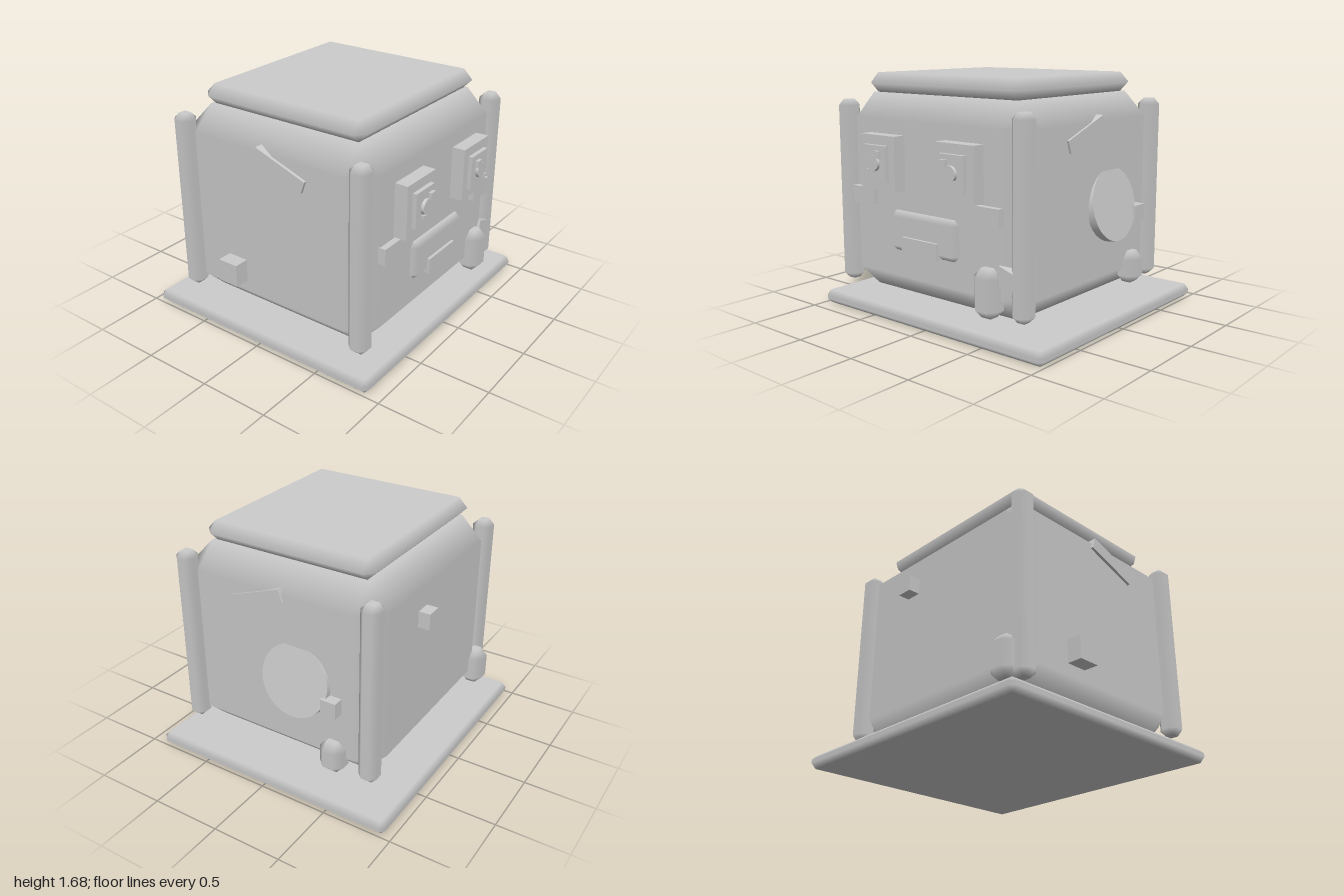
import * as THREE from 'three';
import { ConvexGeometry } from 'three/addons/geometries/ConvexGeometry.js';

// Box with one-step bevels; each vertex keeps its flat face's normal so bevels shade softly.
function bevelledBox(w, h, d, b) {
  const half = [w / 2, h / 2, d / 2];
  const pts = [];
  for (let axis = 0; axis < 3; axis++)
    for (const sx of [-1, 1]) for (const sy of [-1, 1]) for (const sz of [-1, 1]) {
      const p = [sx, sy, sz].map((s, i) => s * (i === axis ? half[i] : half[i] - b));
      pts.push(new THREE.Vector3(...p));
    }
  const geo = new ConvexGeometry(pts);
  const pos = geo.attributes.position, nor = geo.attributes.normal;
  for (let i = 0; i < pos.count; i++) {
    const p = [pos.getX(i), pos.getY(i), pos.getZ(i)];
    const r = p.map((v, k) => Math.abs(v) / half[k]);
    const a = r.indexOf(Math.max(...r));
    const n = [0, 0, 0];
    n[a] = Math.sign(p[a]);
    nor.setXYZ(i, ...n);
  }
  return geo;
}

export function createModel() {
  const group = new THREE.Group();
  const grey = new THREE.MeshStandardMaterial({ color: 0xcccccc });
  grey.name = 'plain grey';

  const add = (name, geo, x, y, z) => {
    const m = new THREE.Mesh(geo, grey);
    m.name = name;
    m.position.set(x, y, z);
    group.add(m);
    return m;
  };
  // Boxes given by their limits: [x0, x1], [y0, y1], [z0, z1], optional bevel
  const box = (name, [x0, x1], [y0, y1], [z0, z1], bevel = 0) => {
    const s = [x1 - x0, y1 - y0, z1 - z0];
    const geo = bevel ? bevelledBox(...s, bevel) : new THREE.BoxGeometry(...s);
    return add(name, geo, (x0 + x1) / 2, (y0 + y1) / 2, (z0 + z1) / 2);
  };

  // Main masses
  box('base', [-1, 1], [0, 0.094], [-0.95, 0.905], 0.035);
  box('body', [-0.865, 0.77], [0.145, 1.54], [-0.745, 0.795], 0.163);
  box('roof', [-0.745, 0.645], [1.54, 1.677], [-0.625, 0.675], 0.065);

  // Corner posts
  for (const x of [-0.84, 0.74])
    for (const z of [-0.695, 0.745])
      box('cornerPost', [x - 0.07, x + 0.07], [0.19, 1.49], [z - 0.07, z + 0.07], 0.042);

  // Eyes and cheeks, mirrored about the face centre
  const faceX = -0.048;
  for (const s of [-1, 1]) {
    const cx = faceX + s * 0.349;
    const span = (c, r) => [c - r, c + r];
    box('eyeFrame', span(cx, 0.163), [0.91, 1.28], [0.75, 0.888]);
    box('eyePanel', span(cx, 0.105), [0.975, 1.215], [0.85, 0.918]);
    const pupil = add('pupil', new THREE.CylinderGeometry(0.054, 0.054, 0.05, 24), cx, 1.095, 0.915);
    pupil.rotation.x = Math.PI / 2;
    box('largeGlint', span(cx - s * 0.047, 0.025), [1.132, 1.182], [0.925, 0.948]);
    box('smallGlint', span(cx + s * 0.041, 0.012), [1.032, 1.056], [0.925, 0.948]);
    box('cheek', span(faceX + s * 0.56, 0.105), [0.785, 0.9], [0.75, 0.838]);
  }

  // Mouth
  box('mouth', [-0.35, 0.253], [0.495, 0.77], [0.7, 0.842], 0.036);
  box('tongue', [-0.21, 0.11], [0.497, 0.607], [0.78, 0.863]);

  // Rounded feet around the lower edge
  box('frontFoot', [0.415, 0.602], [0.19, 0.512], [0.71, 0.89], 0.056);
  box('sideFoot', [0.68, 0.857], [0.19, 0.42], [-0.53, -0.345], 0.056);
  box('backFoot', [-0.838, -0.653], [0.19, 0.47], [-0.838, -0.66], 0.056);
  const link = add('footLink', new THREE.BoxGeometry(0.15, 0.14, 0.1), 0.65, 0.452, 0.765);
  link.rotation.z = -0.3;

  // Tilted slat on each side
  for (const x of [-0.835, 0.735]) {
    const slat = add('sideSlat', new THREE.BoxGeometry(0.1, 0.088, 0.41), x, 1.308, 0.145);
    slat.rotation.x = 0.34;
  }

  // Leaning disc and its knob on the left side
  const disc = add('sideDisc', new THREE.CylinderGeometry(0.255, 0.255, 0.06, 32), 0.781, 0.8, -0.157);
  disc.rotation.z = -80 * Math.PI / 180;
  box('discKnob', [0.73, 0.845], [0.645, 0.76], [-0.495, -0.38]);

  // Plain knobs on the back and right side
  box('backKnob', [0.125, 0.24], [1.11, 1.225], [-0.828, -0.7]);
  box('sideKnob', [-0.97, -0.82], [0.39, 0.55], [-0.335, -0.18]);

  return group;
}
